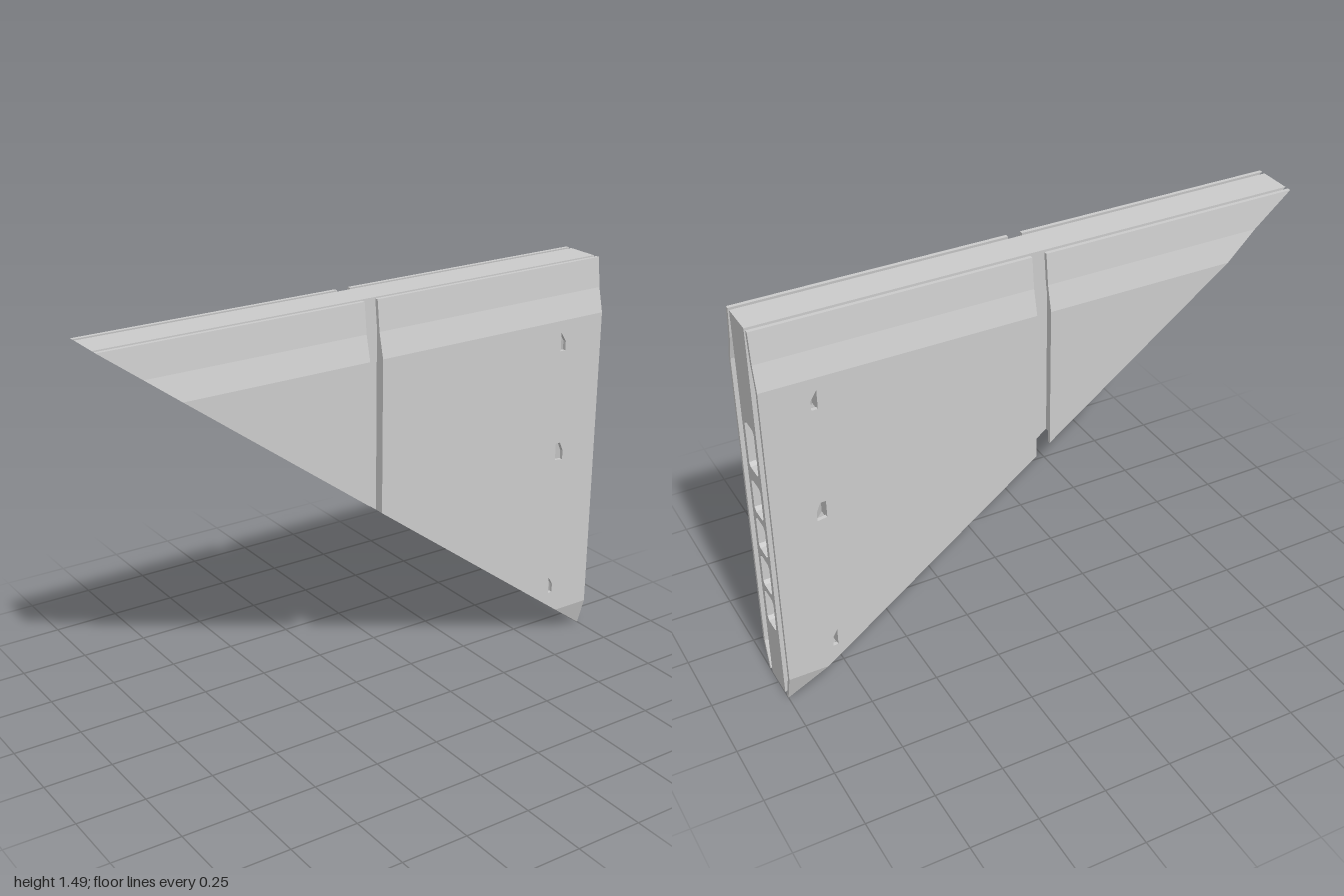
import * as THREE from 'three';

const TOP = 1.49, SLOPE = 0.745, CORE = 0.062, DEPTH = 0.06;
const lineY = (x) => SLOPE * (1 - x);      // sloping lower edge of the wing
const lineX = (y) => 1 - y / SLOPE;
const mat = new THREE.MeshStandardMaterial({ color: 0xcccccc, flatShading: true });

// Height and z of the inner face of the armour skin, bottom to top
const PROFILE = [[0, 0.078], [0.11, 0.11], [1.29, 0.11], [1.38, 0.088], [TOP, 0.076]];
const SKIN = 0.014;
function innerZ(y) {
  for (let i = 1; i < PROFILE.length; i++) {
    const [a, za] = PROFILE[i - 1], [b, zb] = PROFILE[i];
    if (y <= b + 1e-6) return THREE.MathUtils.mapLinear(y, a, b, za, zb);
  }
  return PROFILE[PROFILE.length - 1][1];
}
const skinZ = (y) => innerZ(y) + SKIN;

const polygon = (pts) => new THREE.Shape(pts.map(([x, y]) => new THREE.Vector2(x, y)));
const extrude = (shape, depth) => new THREE.ExtrudeGeometry(shape, { depth, bevelEnabled: false });

function add(parent, name, geometry) {
  const mesh = new THREE.Mesh(geometry, mat);
  mesh.name = name;
  parent.add(mesh);
  return mesh;
}

// Outline of the wing between x0 and x1, within the heights a to b
function clipBand(x0, x1, a, b) {
  const lo = Math.max(a, lineY(x1));
  if (lo >= b - 1e-5) return null;
  const pts = [[x1, lo], [x1, b], [Math.max(x0, lineX(b)), b]];
  const yBreak = lineY(x0);
  if (yBreak > lo && yBreak < b) pts.push([x0, yBreak]);
  pts.push([Math.max(x0, lineX(lo)), lo]);
  return pts.filter(([x, y], i) => {
    const [px, py] = pts[(i + pts.length - 1) % pts.length];
    return Math.hypot(x - px, y - py) > 1e-5;
  });
}

// Solid between two z profiles, following the bends; side is +1 front, -1 back
function bentPanel(x0, x1, top, zNear, zFar, side, holes = []) {
  const out = [];
  for (let i = 1; i < PROFILE.length; i++) {
    const a = PROFILE[i - 1][0], b = Math.min(PROFILE[i][0], top);
    const pts = clipBand(x0, x1, a, b);
    if (!pts) continue;
    const shape = polygon(pts);
    if (i === 2) shape.holes = holes.map(polygon);
    const g = extrude(shape, 1);
    const p = (g.index ? g.toNonIndexed() : g).attributes.position;
    for (let t = 0; t < p.count; t += 3) {
      const ys = [0, 1, 2].map((k) => p.getY(t + k));
      // leave out the seams between bands
      const seam = [a, b].some((c) => c > 0 && c < top && ys.every((y) => Math.abs(y - c) < 1e-5));
      if (seam) continue;
      for (const k of side > 0 ? [0, 1, 2] : [0, 2, 1]) {
        const y = ys[k];
        out.push(p.getX(t + k), y, side * (p.getZ(t + k) > 0.5 ? zFar(y) : zNear(y)));
      }
    }
  }
  const geo = new THREE.BufferGeometry();
  geo.setAttribute('position', new THREE.Float32BufferAttribute(out, 3));
  geo.computeVertexNormals();
  return geo;
}

// Flat edge of the core with a row of tapered, chamfered pockets
function edgeWithPockets() {
  const windows = [[0.265, 0.4], [0.425, 0.555], [0.585, 0.715], [0.74, 0.87], [0.92, 1.1]];
  const w = 0.041, c = 0.012;
  const shape = polygon([[-CORE, 0], [CORE, 0], [CORE, TOP], [-CORE, TOP]]);
  for (const [a, b] of windows) {
    shape.holes.push(polygon([
      [-w + c, a], [w - c, a], [w, a + c], [w, b - c],
      [w - c, b], [-w + c, b], [-w, b - c], [-w, a + c],
    ]));
  }
  const g = extrude(shape, DEPTH).rotateY(Math.PI / 2);
  const p = g.attributes.position;
  for (let i = 0; i < p.count; i++) {
    if (p.getX(i) > 1e-4) continue;
    const y = p.getY(i), z = p.getZ(i);
    if (Math.abs(z) > 0.05) {
      if (y < 1e-4) p.setY(i, lineY(1 - DEPTH));
    } else {
      const [a, b] = windows.find(([lo, hi]) => y > lo - 1e-4 && y < hi + 1e-4);
      const mid = (a + b) / 2;
      p.setY(i, mid + (y - mid) * 0.86);
      p.setZ(i, z * 0.82);
    }
  }
  g.computeVertexNormals();
  return g.translate(1 - DEPTH, 0, 0);
}

export function createModel() {
  const model = new THREE.Group();
  model.name = 'triangularWing';

  // Central slab
  const core = new THREE.Group();
  core.name = 'core';
  model.add(core);
  const xe = 1 - DEPTH;
  add(core, 'coreSlab', extrude(polygon([[-1, TOP], [xe, lineY(xe)], [xe, TOP]]), CORE * 2).translate(0, 0, -CORE));
  add(core, 'pocketedEdge', edgeWithPockets());

  // Small vents cut through the larger skin panel
  const vents = [
    [[0.81, 1.175], [0.832, 1.175], [0.832, 1.21], [0.81, 1.245]],
    [[0.81, 0.75], [0.845, 0.745], [0.845, 0.78], [0.83, 0.815], [0.81, 0.815]],
    [[0.81, 0.195], [0.828, 0.195], [0.828, 0.23], [0.81, 0.26]],
  ];
  const ribs = [[-0.875, -0.862], [-0.09, -0.047], [0.042, 0.088], [0.86, 0.872]];

  for (const side of [1, -1]) {
    const half = new THREE.Group();
    half.name = side > 0 ? 'frontArmour' : 'backArmour';
    model.add(half);

    // Two skin panels with a gap between them
    add(half, 'narrowPanel', bentPanel(-1, -0.027, TOP, innerZ, skinZ, side));
    add(half, 'widePanel', bentPanel(0.025, 1, TOP, innerZ, skinZ, side, vents));

    // Ribs holding the skin off the core
    for (const [x0, x1] of ribs) {
      add(half, 'rib', bentPanel(x0, x1, 1.48, () => CORE - 0.002, innerZ, side));
    }

    // Sloping floors behind the vents
    for (const vent of vents) {
      const ys = vent.map((v) => v[1]);
      const lo = Math.min(...ys) - 0.005, height = Math.max(...ys) + 0.005 - lo;
      const right = Math.max(...vent.map((v) => v[0]));
      const section = polygon([
        [0.8, 0.06], [right + 0.004, 0.06], [right + 0.004, 0.111],
        [right, 0.111], [0.81, 0.075], [0.81, 0.111], [0.8, 0.111],
      ]);
      const g = extrude(section, height).rotateX(side * Math.PI / 2);
      add(half, 'ventFloor', g.translate(0, side > 0 ? lo + height : lo, 0));
    }
  }
  return model;
}
